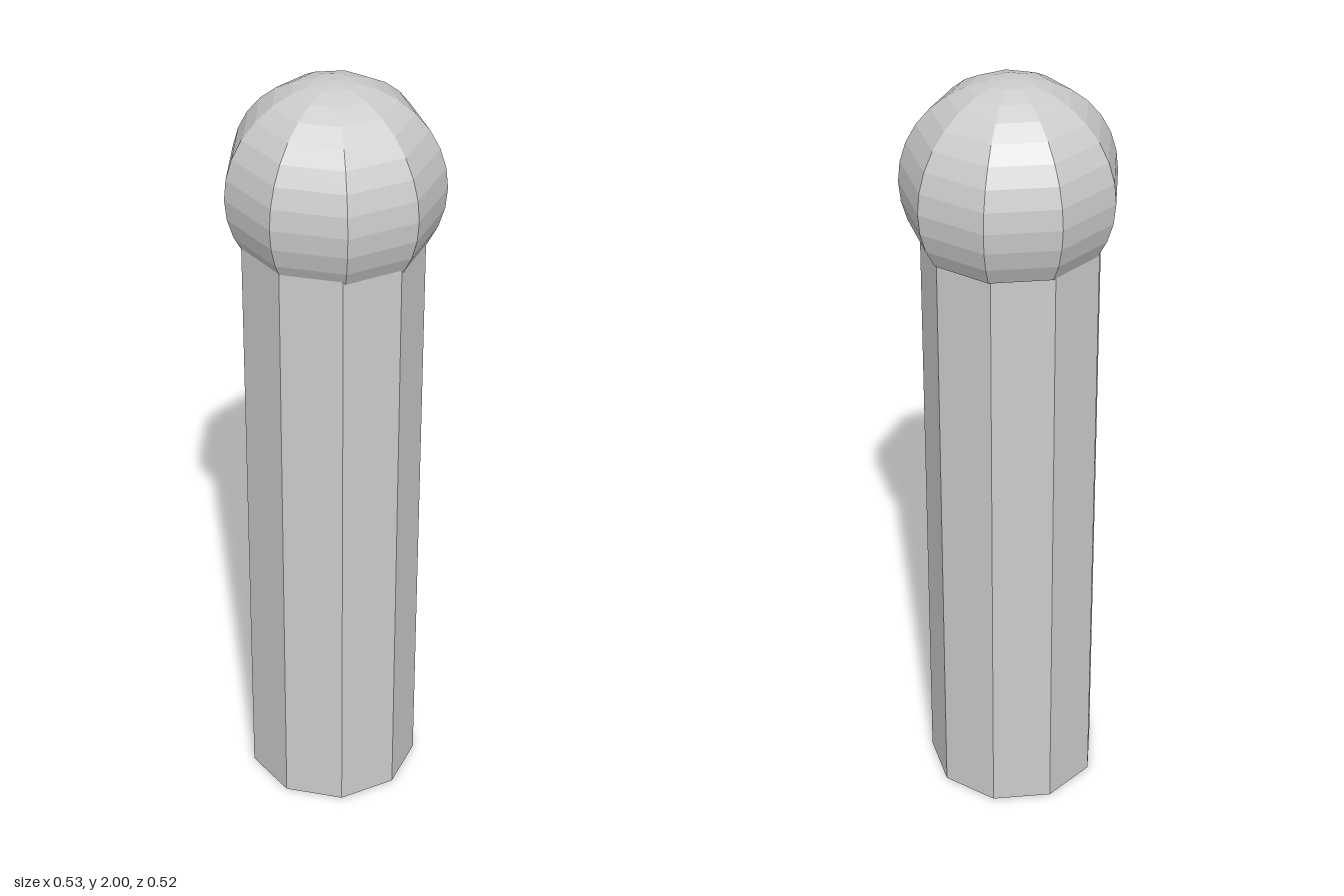
import * as THREE from 'three';

const SIDES = 9;

export function createModel() {
  const group = new THREE.Group();
  const material = new THREE.MeshStandardMaterial({ color: 0xcccccc, flatShading: true });

  const add = (name, geometry, x, y, z) => {
    const mesh = new THREE.Mesh(geometry, material);
    mesh.name = name;
    mesh.position.set(x, y, z);
    group.add(mesh);
  };

  // Nine-sided shaft, slightly off the head's axis, with its top sunk into the head
  const shaftHeight = 1.62;
  add('shaft', new THREE.CylinderGeometry(0.2235, 0.2235, shaftHeight, SIDES, 1, false, Math.PI),
    -0.007, shaftHeight / 2, 0.01);

  // Ball head: sphere profile in 16 steps, cut flat at the 11th ring
  const radius = 0.267;
  const profile = [];
  for (let i = 11; i >= 0; i--) {
    const a = (i / 16) * Math.PI;
    profile.push(new THREE.Vector2(radius * Math.sin(a), radius * Math.cos(a)));
  }
  profile.unshift(new THREE.Vector2(0, profile[0].y));
  add('head', new THREE.LatheGeometry(profile, SIDES, Math.PI), 0, 2 - radius, 0.007);

  return group;
}
